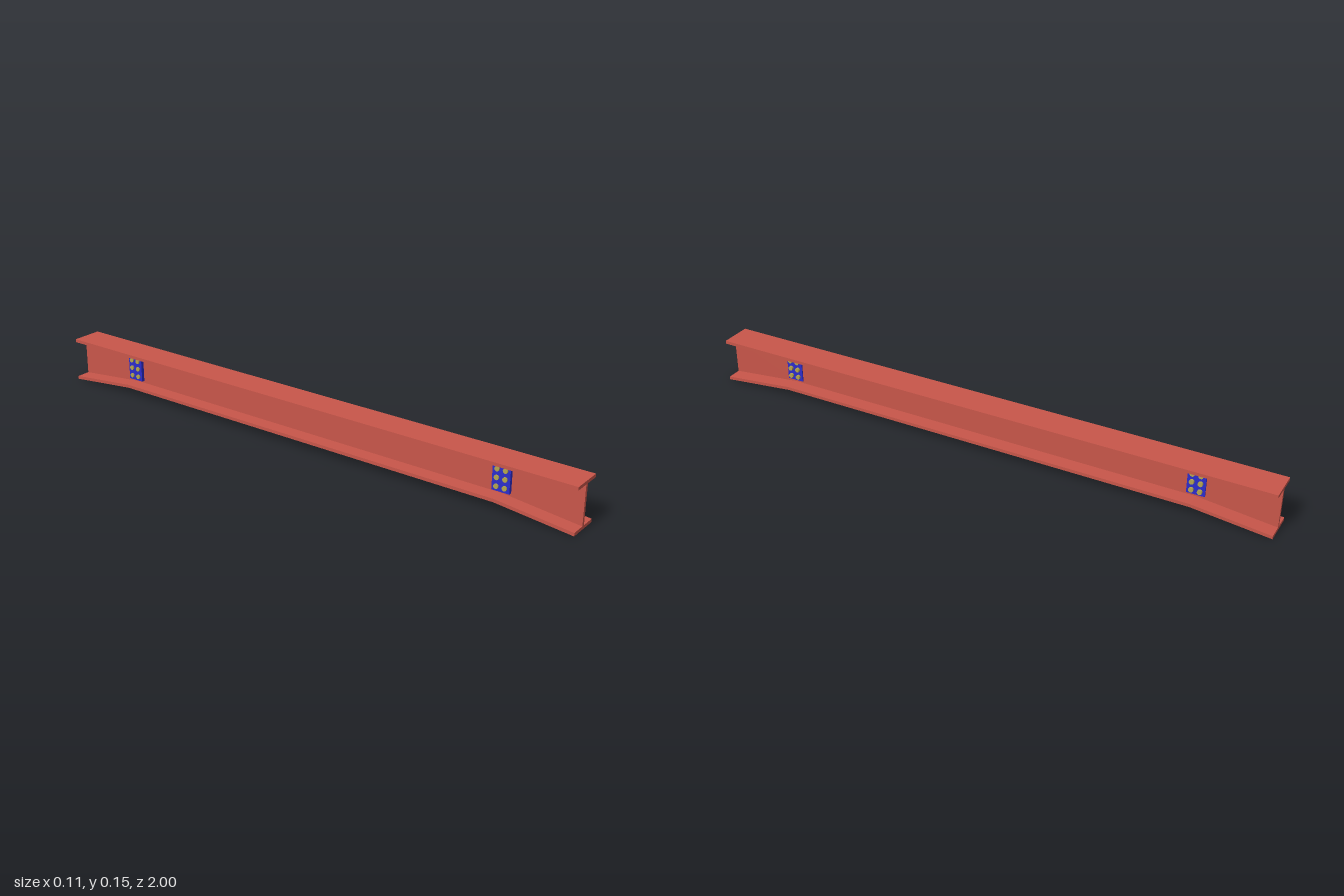
import * as THREE from 'three';

export function createModel() {
  const group = new THREE.Group();
  const red = new THREE.MeshStandardMaterial({ color: 0xc8564a });
  const blue = new THREE.MeshStandardMaterial({ color: 0x2c2ccc });
  const brass = new THREE.MeshStandardMaterial({ color: 0xb5a550 });

  const add = (name, geometry, material, x = 0, y = 0, z = 0, parent = group) => {
    const mesh = new THREE.Mesh(geometry, material);
    mesh.name = name;
    mesh.position.set(x, y, z);
    parent.add(mesh);
    return mesh;
  };

  // Side outline given as [z, y], extruded across x and centred
  const sidePlate = (points, width) => {
    const shape = new THREE.Shape(points.map(([z, y]) => new THREE.Vector2(-z, y)));
    return new THREE.ExtrudeGeometry(shape, { depth: width, bevelEnabled: false })
      .translate(0, 0, -width / 2)
      .rotateY(Math.PI / 2);
  };

  const kink = 0.74, rise = 0.027, thick = 0.011, top = 0.154, width = 0.109;
  const underside = [[-1, 0], [-kink, rise], [kink, rise], [1, 0]];
  const upperside = underside.map(([z, y]) => [z, y + thick]);

  // I-beam: flat top flange, haunched bottom flange and thin web
  add('topFlange', new THREE.BoxGeometry(width, thick, 2), red, 0, top - thick / 2, 0);
  add('bottomFlange', sidePlate([...underside, ...upperside.slice().reverse()], width), red);
  add('web', sidePlate([...upperside, [1, top - thick], [-1, top - thick]], 0.01), red);

  // Bolted splice plates near both ends
  for (const z of [-kink, kink]) {
    const splice = new THREE.Group();
    splice.name = z > 0 ? 'frontSplice' : 'backSplice';
    splice.position.z = z;
    group.add(splice);
    add('rightPlate', new THREE.BoxGeometry(0.011, 0.09, 0.06), blue, -0.0105, 0.0905, 0, splice);
    add('leftPlate', new THREE.BoxGeometry(0.004, 0.09, 0.06), blue, 0.007, 0.0905, 0, splice);
    for (const y of [0.061, 0.0895, 0.118]) {
      for (const dz of [-0.014, 0.014]) {
        const bolt = new THREE.CylinderGeometry(0.008, 0.008, 0.038, 16).rotateZ(Math.PI / 2);
        add('bolt', bolt, brass, -0.002, y, dz, splice);
      }
    }
  }
  return group;
}
